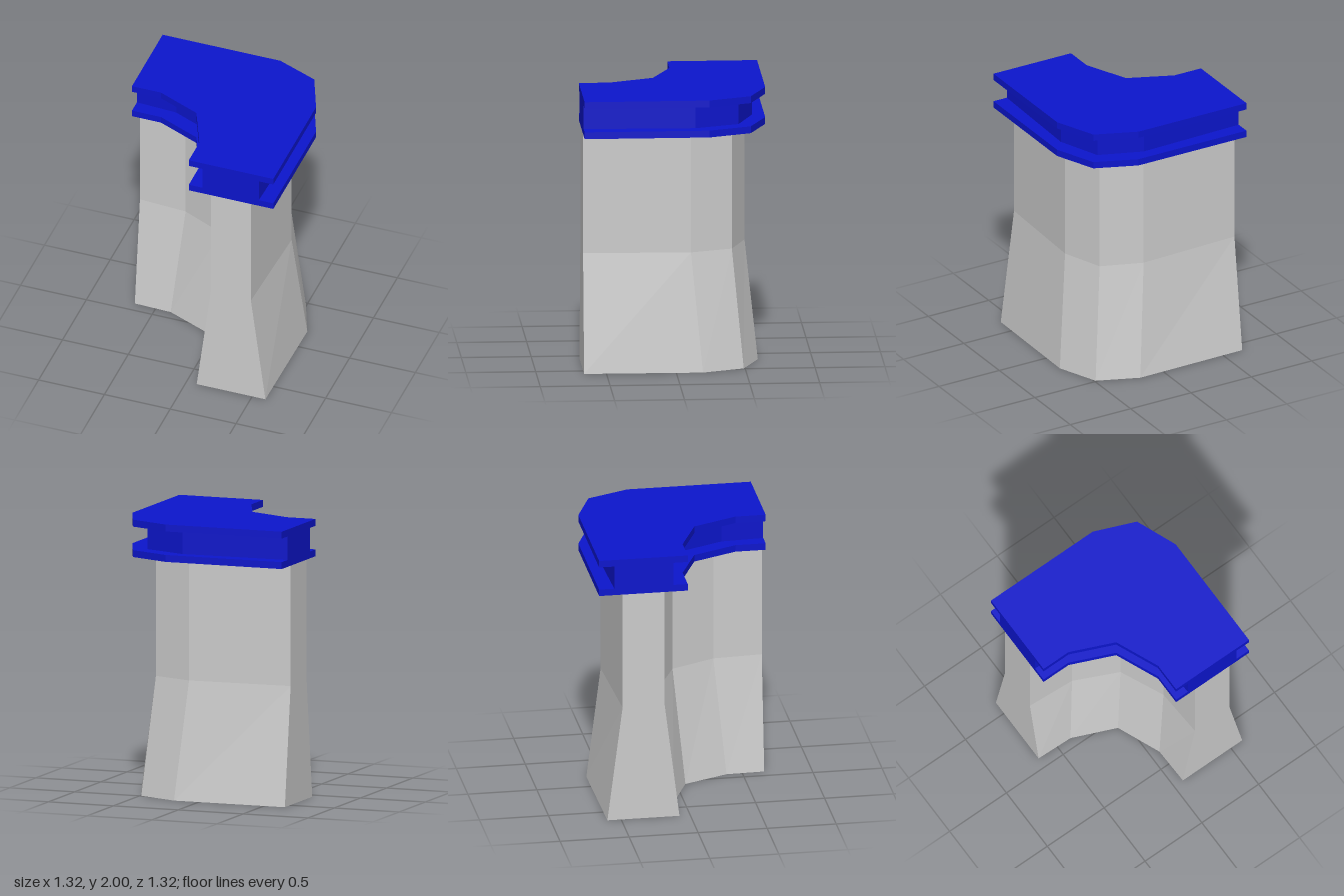
import * as THREE from 'three';

const END = 0.66; // both ends of the corner piece are cut flat at this distance

// Half of one wall edge (end, bend, corner), mirrored across the diagonal to five points [x, z]
function edge(endX, bendX, bendZ, corner) {
  const half = [[endX, END], [bendX, bendZ]];
  const mirrored = half.map(([x, z]) => [-z, -x]).reverse();
  return [...half, [corner, -corner], ...mirrored];
}

// Horizontal cross-section at height y, from an outer and an inner edge
const section = (y, outer, inner) => ({ y, outer: edge(...outer), inner: edge(...inner) });

// Skin a stack of cross-sections and close it at the top and bottom
function loft(sections) {
  const pos = [];
  const quad = (a, b, c, d) => pos.push(...a, ...b, ...c, ...a, ...c, ...d);
  const at = ([x, z], y) => [x, y, z];
  const rings = sections.map(s =>
    [...s.outer, ...[...s.inner].reverse()].map(p => at(p, s.y)));

  for (let k = 0; k < rings.length - 1; k++) {
    const lo = rings[k], hi = rings[k + 1], n = lo.length;
    for (let i = 0; i < n; i++) {
      const j = (i + 1) % n;
      quad(lo[i], lo[j], hi[j], hi[i]);
    }
  }
  const bottom = rings[0], top = rings[rings.length - 1], last = top.length - 1;
  for (let i = 0; i < 4; i++) {
    quad(top[i], top[i + 1], top[last - i - 1], top[last - i]);
    quad(bottom[last - i], bottom[last - i - 1], bottom[i + 1], bottom[i]);
  }
  const geo = new THREE.BufferGeometry();
  geo.setAttribute('position', new THREE.Float32BufferAttribute(pos, 3));
  geo.computeVertexNormals();
  return geo;
}

export function createModel() {
  const model = new THREE.Group();
  model.name = 'cornerWall';
  const stone = new THREE.MeshStandardMaterial({ color: 0xcccccc, flatShading: true });
  const blue = new THREE.MeshStandardMaterial({ color: 0x0c15cc, flatShading: true });

  const add = (name, material, sections) => {
    const mesh = new THREE.Mesh(loft(sections), material);
    mesh.name = name;
    model.add(mesh);
  };

  // Wall: flared foot, upright upper part
  const upperOuter = [0.49, 0.52, -0.11, 0.41], upperInner = [0.185, 0.163, 0.305, 0.015];
  add('wall', stone, [
    section(0, [0.60, 0.61, -0.19, 0.49], [0.078, 0.07, 0.385, -0.065]),
    section(0.86, upperOuter, upperInner),
    section(1.73, upperOuter, upperInner),
  ]);

  // Coping: recessed band between two wide slabs
  const prism = (name, y0, y1, outer, inner) =>
    add(name, blue, [section(y0, outer, inner), section(y1, outer, inner)]);
  const slabOuter = [0.66, 0.66, -0.235, 0.537], slabInner = [0.018, 0.018, 0.44, -0.12];
  prism('lowerSlab', 1.73, 1.78, slabOuter, slabInner);
  prism('recessedBand', 1.78, 1.95, [0.55, 0.573, -0.14, 0.455], [0.122, 0.105, 0.355, -0.035]);
  prism('upperSlab', 1.95, 2, slabOuter, slabInner);

  return model;
}
